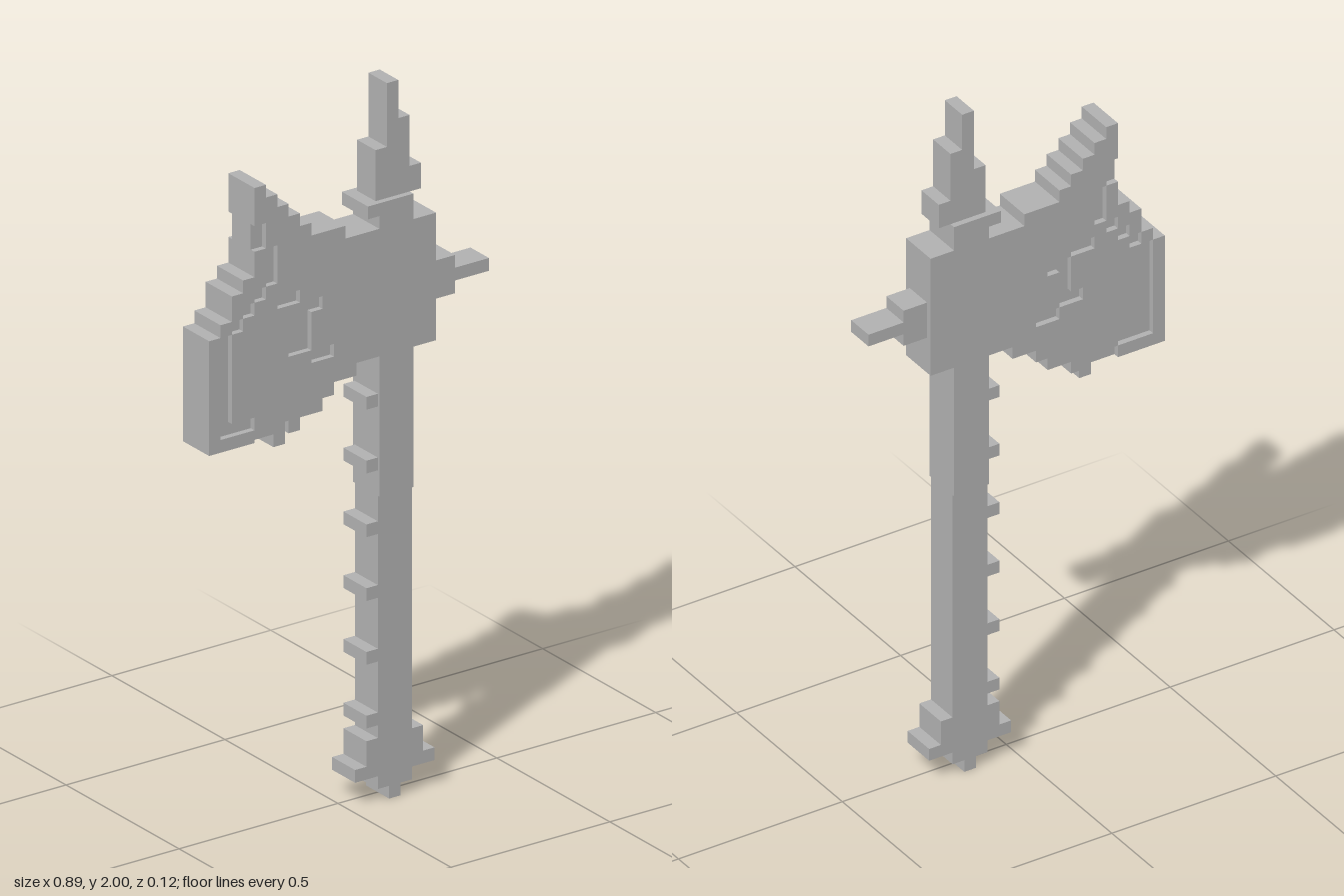
import * as THREE from 'three';

// The axe is laid out on a square grid of cells, 56 cells tall.
const CELL = 2 / 56;
const X = i => (i - 12.5) * CELL;
const Y = j => (j + 31) * CELL;

// Half depths of the layers
const THICK = 0.058, GRIP = 0.051, THIN = 0.041;

export function createModel() {
  const model = new THREE.Group();
  model.name = 'battleAxe';
  const grey = new THREE.MeshStandardMaterial({ color: 0xb0b0b0 });
  grey.name = 'plain grey';

  const add = (name, geometry) => {
    const mesh = new THREE.Mesh(geometry, grey);
    mesh.name = name;
    model.add(mesh);
    return mesh;
  };

  // Box covering grid cells x0..x1, y0..y1
  const block = (name, x0, y0, x1, y1, half) => {
    const mesh = add(name, new THREE.BoxGeometry((x1 - x0) * CELL, (y1 - y0) * CELL, half * 2));
    mesh.position.set((X(x0) + X(x1)) / 2, (Y(y0) + Y(y1)) / 2, 0);
  };

  const toPoints = list => list.map(([i, j]) => new THREE.Vector2(X(i), Y(j)));
  const rect = (x0, y0, x1, y1) => [[x0, y0], [x1, y0], [x1, y1], [x0, y1]];

  // Stepped outline extruded symmetrically about z = 0
  const plate = (name, outline, half, holes = []) => {
    const shape = new THREE.Shape(toPoints(outline));
    holes.forEach(h => shape.holes.push(new THREE.Path(toPoints(h))));
    const geometry = new THREE.ExtrudeGeometry(shape, { depth: half * 2, bevelEnabled: false });
    add(name, geometry.translate(0, 0, -half));
  };

  // Main blade with the carved mark cut out
  plate('bladeBody', [
    [2, 2], [4, 2], [4, 1], [7, 1], [7, 0], [8, 0], [8, 1], [10, 1], [10, 2], [11, 2], [11, 3],
    [13, 3], [13, 4], [20, 4], [20, 14], [18, 14], [18, 16], [14, 16], [14, 15], [15, 15], [15, 14],
    [12, 14], [12, 15], [9, 15], [9, 16], [8, 16], [8, 17], [7, 17], [7, 18], [6, 18], [6, 19],
    [5, 19], [5, 20], [4, 20], [4, 17], [5, 17], [5, 15], [6, 15], [6, 12], [5, 12], [5, 11],
    [4, 11], [4, 10], [3, 10], [3, 9], [2, 9],
  ], THICK, [
    rect(6, 10, 8, 11),
    [[7, 6], [9, 6], [9, 9], [10, 9], [10, 10], [8, 10], [8, 7], [7, 7]],
    rect(9, 5, 11, 6),
  ]);

  // Raised cutting edge outside the groove
  plate('cuttingEdge', [[0, 0], [4, 0], [4, 1], [1, 1], [1, 9], [0, 9]], THICK);
  plate('upperEdge', [
    [2, 10], [3, 10], [3, 11], [4, 11], [4, 12], [5, 12], [5, 15], [4, 15], [4, 13],
    [3, 13], [3, 12], [2, 12],
  ], THICK);
  block('edgeStep', 1, 9, 2, 10, THICK);

  // Recessed floor of the edge groove
  [
    [1, 1, 2, 9], [2, 1, 4, 2], [4, 0, 7, 1], [6, -1, 7, 0], [2, 9, 3, 10],
    [3, 10, 4, 11], [4, 11, 5, 12], [5, 12, 6, 15], [4, 15, 5, 17],
  ].forEach(c => block('edgeGroove', ...c, THIN));

  // Recessed floor of the carved mark
  [[6, 10, 8, 11], [8, 9, 10, 10], [8, 6, 9, 9], [7, 6, 8, 7], [9, 5, 11, 6]]
    .forEach(c => block('carvedMark', ...c, THIN));

  // Top and back spikes
  plate('topSpike', [
    [15, 16], [19, 16], [19, 18], [18, 18], [18, 22], [17, 22], [17, 25], [16, 25],
    [16, 20], [15, 20],
  ], THIN);
  plate('backSpike', [
    [20, 7], [22, 7], [22, 8], [25, 8], [25, 9], [22, 9], [22, 10], [20, 10],
  ], THIN);

  // Handle, thicker near the head
  block('upperHandle', 15, -7, 18, 4, THICK);

  // Lower handle and stepped pommel in one piece
  plate('lowerHandle', [
    [16, -31], [17, -31], [17, -30], [18, -30], [18, -29], [20, -29], [20, -28], [19, -28],
    [19, -26], [18, -26], [18, -7], [15, -7], [15, -26], [14, -26], [14, -28], [13, -28],
    [13, -29], [15, -29], [15, -30], [16, -30],
  ], GRIP);

  // Evenly spaced grip studs
  for (let j = 0; j >= -25; j -= 5) block('gripStud', 14, j, 15, j + 1, GRIP);

  return model;
}
